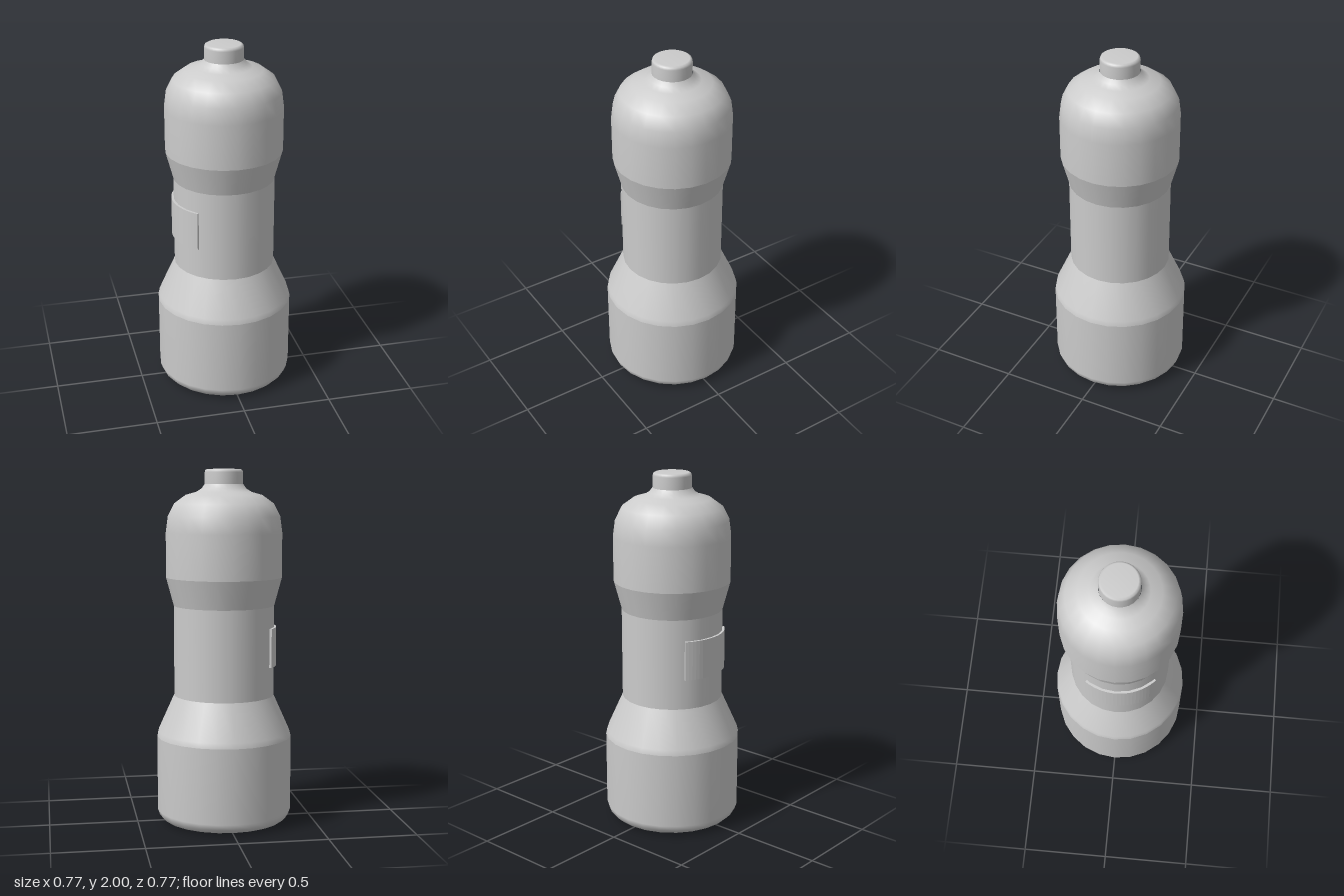
import * as THREE from 'three';

const material = new THREE.MeshStandardMaterial({ color: 0xcccccc });

// Smooth lathe from [radius, height] pairs, listed bottom to top
function turned(name, profile, sides = 24) {
  const points = profile.map(([r, y]) => new THREE.Vector2(r, y));
  const mesh = new THREE.Mesh(new THREE.LatheGeometry(points, sides), material);
  mesh.name = name;
  return mesh;
}

export function createModel() {
  const model = new THREE.Group();
  model.name = 'bottle';

  // Body sections, split where the surface has a crisp crease
  model.add(turned('base', [
    [0, 0.008], [0.2, 0.006], [0.31, 0.003], [0.35, 0.016], [0.372, 0.038], [0.383, 0.07], [0.383, 0.495],
  ]));
  model.add(turned('lowerTaper', [[0.383, 0.495], [0.376, 0.525], [0.284, 0.73]]));
  model.add(turned('grip', [[0.284, 0.73], [0.284, 1.24]]));
  model.add(turned('upperTaper', [[0.284, 1.24], [0.327, 1.4]]));
  model.add(turned('shoulder', [
    [0.327, 1.4], [0.327, 1.65], [0.315, 1.74], [0.28, 1.81], [0.215, 1.857],
    [0.155, 1.874], [0.125, 1.893], [0.109, 1.916],
  ]));

  // Cap with a rounded rim
  model.add(turned('cap', [[0, 1.908], [0.107, 1.908]], 32));
  model.add(turned('capSide', [
    [0.107, 1.908], [0.107, 1.982], [0.103, 1.994], [0.092, 2], [0, 2],
  ], 32));

  // Curved label plate wrapped round the right side of the grip
  const start = THREE.MathUtils.degToRad(132.5);
  const end = THREE.MathUtils.degToRad(215);
  const plate = new THREE.Shape();
  plate.absarc(0, 0, 0.296, start, end, false);
  plate.absarc(0, 0, 0.27, end, start, true);
  const plateGeometry = new THREE.ExtrudeGeometry(plate, { depth: 0.22, bevelEnabled: false, curveSegments: 10 });
  plateGeometry.rotateX(Math.PI / 2); // shape y becomes z, extrusion runs down
  plateGeometry.translate(0, 1.12, 0);
  const label = new THREE.Mesh(plateGeometry, material);
  label.name = 'labelPlate';
  model.add(label);

  return model;
}
